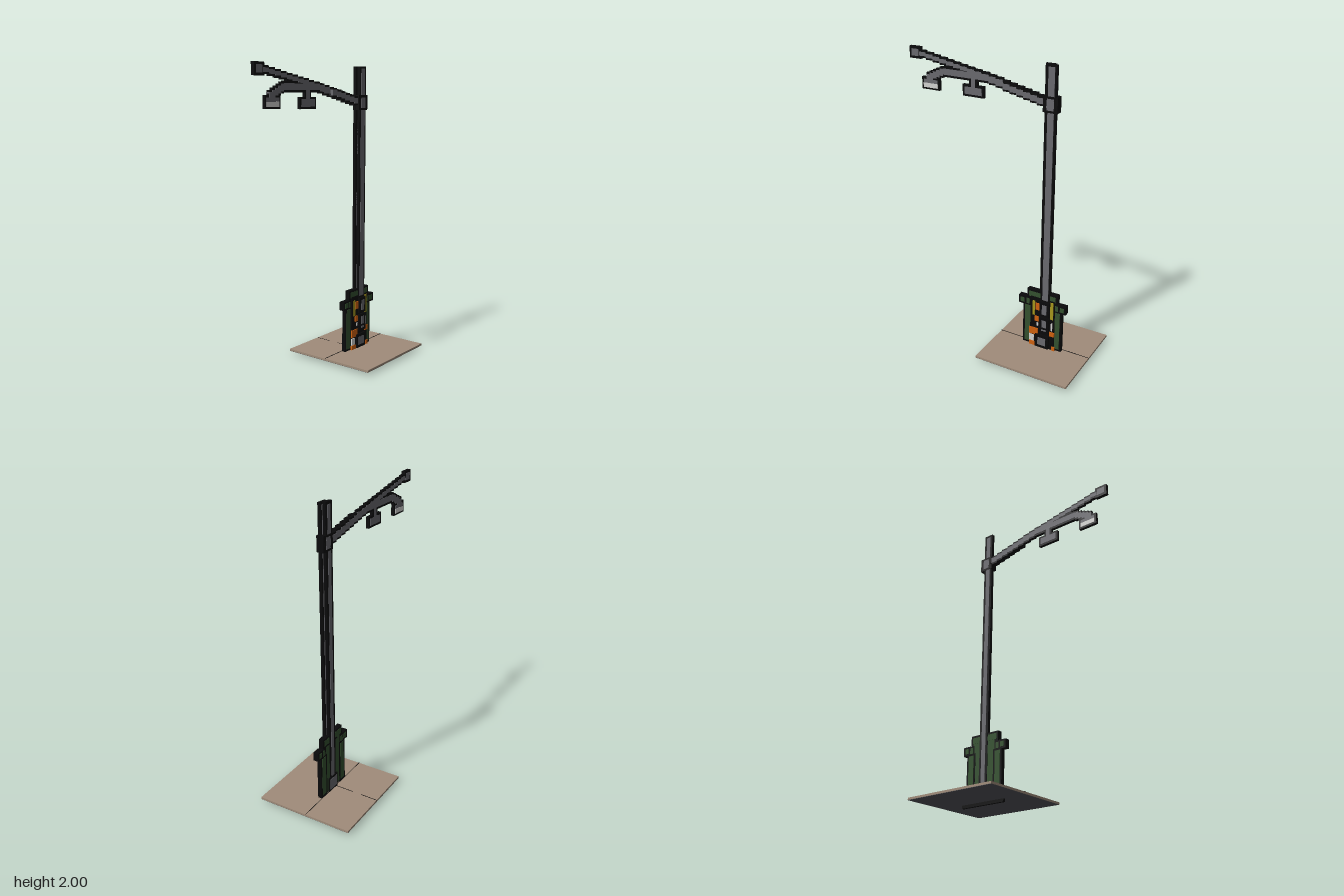
import * as THREE from 'three';

const mat = (name, color) => {
  const m = new THREE.MeshStandardMaterial({ color });
  m.name = name;
  return m;
};

export function createModel() {
  const black = mat('outline black', 0x0a0a0b);
  const grey = mat('steel grey', 0x6a6a6f);
  const tan = mat('ground tan', 0xa08c7a);
  const under = mat('underside grey', 0x55555a);
  const green = mat('cabinet green', 0x34512f);
  const orange = mat('orange', 0xd0620f);
  const yellow = mat('olive yellow', 0xa8981c);
  const white = mat('lamp white', 0xd4d4d2);

  const root = new THREE.Group();
  root.name = 'streetLamp';
  const group = (name) => {
    const g = new THREE.Group();
    g.name = name;
    root.add(g);
    return g;
  };

  // Box given by its limits on each axis
  const box = (parent, name, m, x0, x1, y0, y1, z0, z1) => {
    const mesh = new THREE.Mesh(new THREE.BoxGeometry(x1 - x0, y1 - y0, z1 - z0), m);
    mesh.position.set((x0 + x1) / 2, (y0 + y1) / 2, (z0 + z1) / 2);
    mesh.name = name;
    parent.add(mesh);
  };

  // Black slab with a coloured core showing on the front and back
  const framed = (parent, name, m, x0, x1, y0, y1, z0, z1, bx = 0.014, by = bx) => {
    box(parent, name + 'Frame', black, x0, x1, y0, y1, z0, z1);
    box(parent, name + 'Face', m, x0 + bx, x1 - bx, y0 + by, y1 - by, z0 - 0.002, z1 + 0.002);
  };

  const ZB = -0.018, ZM = 0.003, ZF = 0.024;

  // Ground slab with its seams
  const ground = group('ground');
  box(ground, 'groundSlab', tan, 0, 0.674, 0.022, 0.036, -0.337, 0.337);
  box(ground, 'groundUnderside', under, 0.001, 0.673, 0.02, 0.022, -0.336, 0.336);
  box(ground, 'crossSeam', black, 0, 0.674, 0.034, 0.039, -0.02, -0.018);
  for (const [a, b] of [[-0.337, -0.22], [-0.155, -0.02]]) {
    box(ground, 'backSeam', black, 0.309, 0.313, 0.034, 0.037, a, b);
  }
  box(ground, 'footing', black, 0.17, 0.51, 0, 0.02, -0.018, 0);

  // Pole in two offset layers
  const pole = group('pole');
  framed(pole, 'poleBack', grey, 0.308, 0.375, 0.03, 2, ZB, ZM, 0.017);
  framed(pole, 'poleFront', grey, 0.325, 0.394, 0.4, 2, ZM, ZF, 0.013);
  framed(pole, 'poleFoot', grey, 0.295, 0.395, 0.036, 0.14, -0.024, ZM, 0.012);

  // Joint between pole and arms
  framed(pole, 'joint', grey, 0.308, 0.406, 1.71, 1.81, -0.021, 0.028, 0.026, 0.014);
  framed(pole, 'jointBolt', grey, 0.32, 0.394, 1.725, 1.795, -0.0215, 0.0285, 0.012, 0.014);

  // Stepped beam following a line, one slab per step
  const steppedBeam = (parent, name, x0, y0, x1, y1, n, h, z0, z1) => {
    const w = (x1 - x0) / n;
    for (let i = 0; i < n; i++) {
      const y = y0 + (y1 - y0) * (i + 0.5) / n;
      framed(parent, name, grey, x0 + i * w, x0 + (i + 1) * w, y - h / 2, y + h / 2, z0, z1, 0, 0.012);
    }
  };

  // Long upper arm with its end block
  const upper = group('upperArm');
  steppedBeam(upper, 'upperBeam', -0.6, 1.96, 0.02, 1.845, 12, 0.05, ZB, ZM);
  framed(upper, 'armEnd', grey, -0.674, -0.588, 1.922, 2, ZB - 0.002, ZM + 0.001, 0.016);

  // Lower arm rising from the joint, then bending down to the lamp
  const lower = group('lampArm');
  steppedBeam(lower, 'risingBeam', -0.08, 1.857, 0.31, 1.768, 8, 0.064, ZB, ZM);
  steppedBeam(lower, 'risingBeamFront', 0.03, 1.832, 0.31, 1.768, 6, 0.06, ZM, 0.02);
  framed(lower, 'flatBeam', grey, -0.42, -0.08, 1.827, 1.895, ZB, ZM, 0, 0.014);
  steppedBeam(lower, 'bend', -0.55, 1.8, -0.42, 1.86, 5, 0.07, ZB, ZM);

  // Lamp head with its light
  const lamp = group('lampHead');
  framed(lamp, 'lampHousing', grey, -0.585, -0.45, 1.73, 1.81, ZB, ZM, 0.014);
  box(lamp, 'light', white, -0.572, -0.463, 1.742, 1.772, ZB - 0.004, ZM + 0.004);

  // Hanging box on a short stem
  const hanging = group('hangingBox');
  framed(hanging, 'stem', grey, -0.225, -0.165, 1.785, 1.842, ZB, ZM, 0.015, 0);
  framed(hanging, 'hangingCase', grey, -0.273, -0.118, 1.725, 1.8, ZB, ZM, 0.014);

  // Cabinet: side panels, stacked caps and dark middle
  const cabinet = group('cabinet');
  box(cabinet, 'middlePanel', black, 0.25, 0.43, 0.036, 0.42, -0.012, 0.022);
  framed(cabinet, 'leftBackPanel', green, 0.24, 0.44, 0.036, 0.45, -0.013, 0, 0.01);
  for (const s of [-1, 1]) {
    const c = 0.335;
    const side = (name, a, b, y0, y1, z0, z1, border) => {
      const p = c + s * a, q = c + s * b;
      framed(cabinet, name, green, Math.min(p, q), Math.max(p, q), y0, y1, z0, z1, border);
    };
    side('sidePanel', 0.075, 0.145, 0.036, 0.35, -0.016, 0.012, 0.014);
    side('capBar', 0.085, 0.13, 0.34, 0.4, -0.016, 0.016, 0.01);
    side('capEnd', 0.12, 0.175, 0.342, 0.402, -0.017, 0.02, 0.013);
  }
  framed(cabinet, 'topCap', green, 0.222, 0.448, 0.4, 0.468, -0.015, 0.018, 0.014);

  // Machinery on the cabinet front
  const works = group('machinery');
  framed(works, 'knob', grey, 0.295, 0.395, 0.04, 0.138, 0.02, 0.036, 0.02);
  framed(works, 'lowerPipe', grey, 0.325, 0.395, 0.16, 0.28, 0.02, 0.036, 0.018);
  framed(works, 'upperPipe', grey, 0.325, 0.395, 0.29, 0.4, 0.02, 0.036, 0.018);
  const details = [
    ['orangeBlock', orange, 0.245, 0.31, 0.125, 0.178],
    ['orangeFoot', orange, 0.245, 0.295, 0.036, 0.066],
    ['orangeUpper', orange, 0.29, 0.325, 0.325, 0.378],
    ['orangeSpot', orange, 0.285, 0.315, 0.235, 0.275],
    ['orangeRight', orange, 0.398, 0.433, 0.145, 0.18],
    ['orangeRightFoot', orange, 0.415, 0.438, 0.036, 0.066],
    ['yellowLeft', yellow, 0.268, 0.285, 0.28, 0.39],
    ['yellowRight', yellow, 0.4, 0.422, 0.28, 0.41],
    ['whitePatch', white, 0.245, 0.282, 0.07, 0.118],
    ['whiteSpot', white, 0.3, 0.312, 0.2, 0.225],
    ['whiteRight', white, 0.408, 0.418, 0.19, 0.25],
  ];
  for (const [name, m, x0, x1, y0, y1] of details) box(works, name, m, x0, x1, y0, y1, 0.018, 0.027);
  box(works, 'lever', black, 0.28, 0.38, 0.2, 0.206, 0.034, 0.05);

  return root;
}
